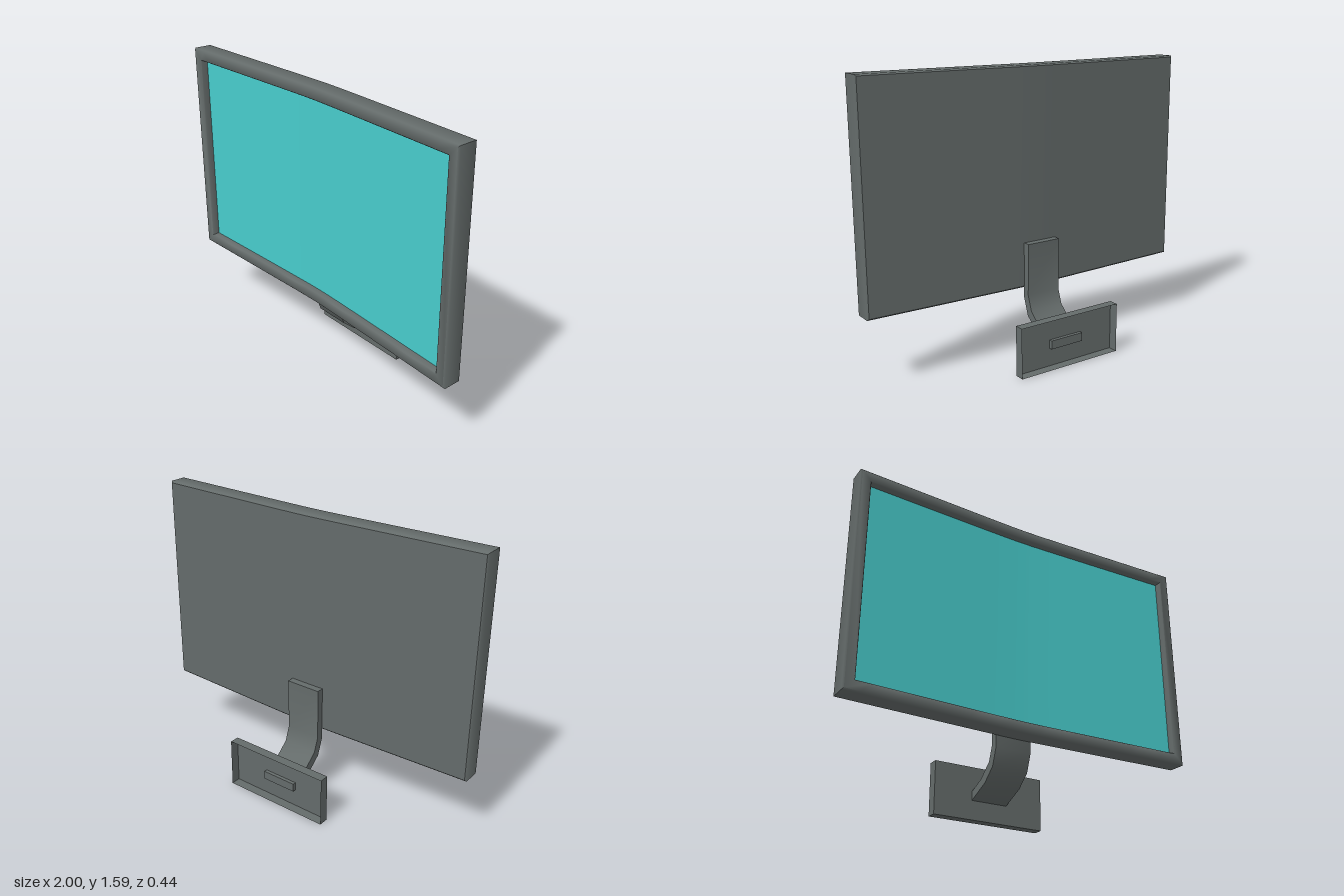
import * as THREE from 'three';
import { toCreasedNormals } from 'three/addons/utils/BufferGeometryUtils.js';

const N = 24; // segments across the curved panel
const bend = (x) => 0.035 * (Math.hypot(x, 0.1) - 0.1) / 0.905;

// Closed rectangular loop, counter-clockwise seen from the front, following the curve.
function ring([hw, y0, y1, z]) {
  const pts = [];
  for (let i = 0; i <= N; i++) {
    const x = hw * (2 * i / N - 1);
    pts.push([x, y0, z + bend(x)]);
  }
  return pts.concat(pts.map(([x, , zz]) => [x, y1, zz]).reverse());
}

// Skin joining successive loops.
function loft(sections) {
  const rings = sections.map(ring), count = rings[0].length;
  const pos = rings.flat(2), idx = [];
  for (let r = 0; r < rings.length - 1; r++) {
    for (let j = 0; j < count; j++) {
      const k = (j + 1) % count;
      const a = r * count + j, b = r * count + k;
      idx.push(a, b, b + count, a, b + count, a + count);
    }
  }
  const g = new THREE.BufferGeometry();
  g.setAttribute('position', new THREE.Float32BufferAttribute(pos, 3));
  g.setIndex(idx);
  return toCreasedNormals(g, 0.9);
}

// Curved sheet facing +z, or -z when back is true.
function sheet(hw, y0, y1, z, back = false) {
  const g = new THREE.PlaneGeometry(2 * hw, y1 - y0, N, 1);
  if (back) g.rotateY(Math.PI);
  g.translate(0, (y0 + y1) / 2, z);
  const p = g.attributes.position;
  for (let i = 0; i < p.count; i++) p.setZ(i, z + bend(p.getX(i)));
  g.computeVertexNormals();
  return g;
}

export function createModel() {
  const model = new THREE.Group();
  const grey = new THREE.MeshStandardMaterial({ color: 0x646b6a });
  const greyThin = new THREE.MeshStandardMaterial({ color: 0x646b6a, side: THREE.DoubleSide });
  const cyan = new THREE.MeshStandardMaterial({ color: 0x48cccc });
  const add = (name, geometry, material) => {
    const mesh = new THREE.Mesh(geometry, material);
    mesh.name = name;
    model.add(mesh);
    return mesh;
  };

  // Panel housing: bevelled outside, then the bezel and its step down to the screen
  const b = 0.008, y0 = 0.38, y1 = 1.59, zb = 0.07, zf = 0.182;
  add('housing', loft([
    [1 - b, y0 + b, y1 - b, zb],
    [1, y0, y1, zb + b],
    [1, y0, y1, zf - b],
    [1 - b, y0 + b, y1 - b, zf],
    [0.945, 0.435, 1.535, zf],
    [0.94, 0.44, 1.53, zf - 0.005],
    [0.94, 0.44, 1.53, zf - 0.04],
  ]), grey);
  add('backCover', sheet(1 - b, y0 + b, y1 - b, zb, true), grey);
  add('screen', sheet(0.94, 0.44, 1.53, zf - 0.04), cyan);

  // Arm: side profile as [z, y], extruded across x; its lower end passes through the mount plate
  const profile = [
    [0.074, 0.635], [0.03, 0.635], [0.035, 0.345], [0.005, 0.26], [-0.075, 0.19],
    [-0.165, 0.15], [-0.185, 0.15], [-0.185, 0.102], [-0.165, 0.102],
    [-0.035, 0.16], [0.04, 0.225], [0.074, 0.32],
  ];
  const arm = new THREE.ExtrudeGeometry(
    new THREE.Shape(profile.map(([z, y]) => new THREE.Vector2(z, y))),
    { depth: 0.205, bevelEnabled: false });
  arm.rotateY(-Math.PI / 2).translate(0.085, 0, 0);
  add('arm', toCreasedNormals(arm, 0.75), grey);

  // Mount plate: thin tray, open at the back
  const tray = new THREE.BoxGeometry(0.635, 0.28, 0.055);
  tray.setIndex(Array.from(tray.index.array).slice(0, 30));
  add('mountPlate', tray, greyThin).position.set(-0.0175, 0.14, -0.1925);

  return model;
}
